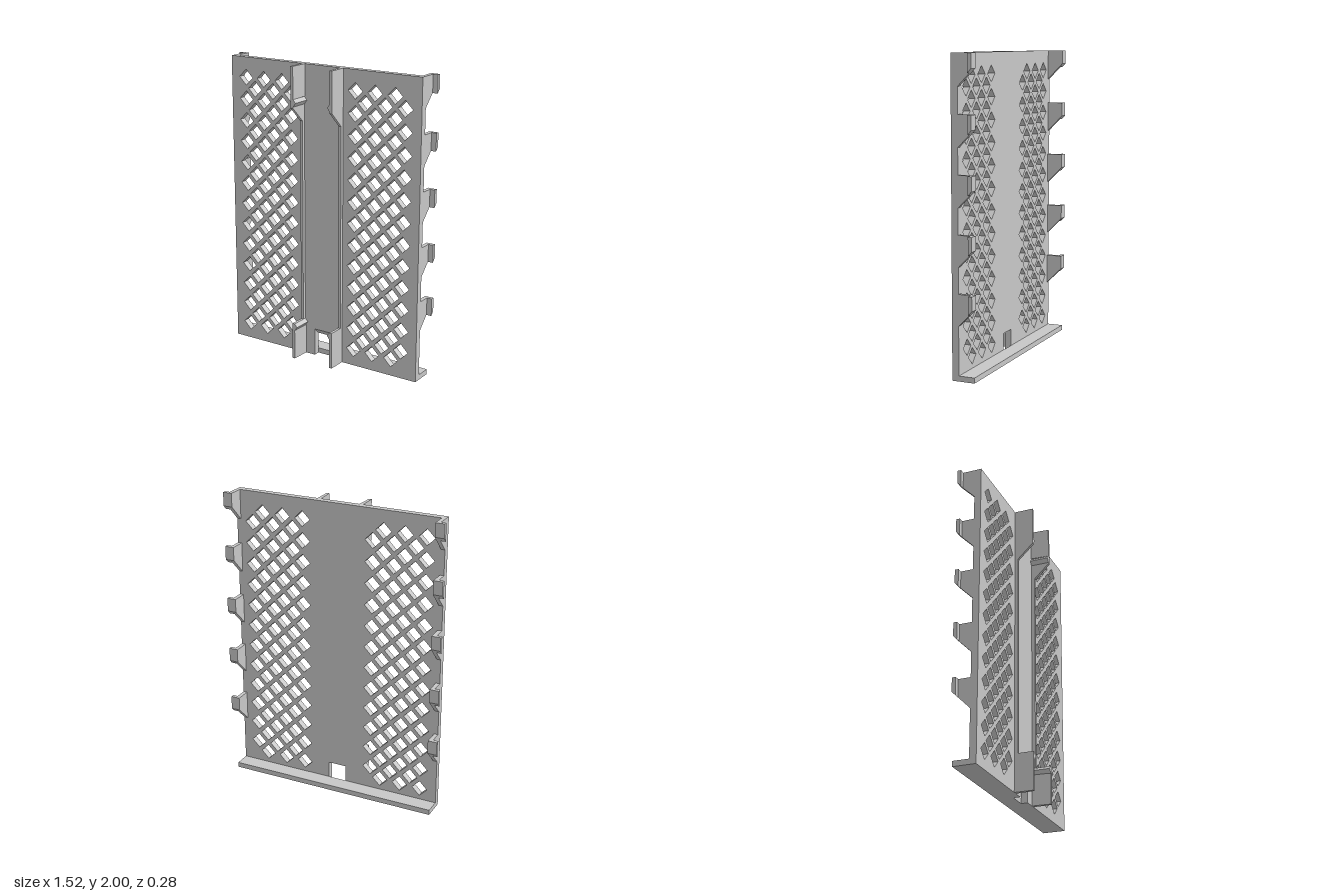
import * as THREE from 'three';

const W = 0.727, H = 2, FRONT = 0.012, BACK = -0.033, DEEP = 0.139;

const grey = new THREE.MeshStandardMaterial({ color: 0xc7c7c7 });
grey.name = 'lightGrey';

function polygon(points) {
  return new THREE.Shape(points.map(([x, y]) => new THREE.Vector2(x, y)));
}

function add(parent, name, geometry) {
  const mesh = new THREE.Mesh(geometry, grey);
  mesh.name = name;
  parent.add(mesh);
  return mesh;
}

// Extrudes a side profile, given as [z, y] points, from x0 to x1
function sideExtrude(points, x0, x1) {
  const shape = polygon(points.map(([z, y]) => [-z, y]));
  const geometry = new THREE.ExtrudeGeometry(shape, { depth: x1 - x0, bevelEnabled: false });
  return geometry.rotateY(Math.PI / 2).translate(x0, 0, 0);
}

// Extrudes a front outline, given as a shape in x and y, from z0 to z1
function frontExtrude(shape, z0, z1) {
  return new THREE.ExtrudeGeometry(shape, { depth: z1 - z0, bevelEnabled: false }).translate(0, 0, z0);
}

// Flat panel with a notch at the foot and two lattices of diamond holes
function latticePanel() {
  const shape = polygon([
    [-W, 0], [-0.062, 0], [-0.062, 0.19], [0.062, 0.19], [0.062, 0], [W, 0], [W, H], [-W, H],
  ]);
  const stepX = 0.0725, stepY = 0.0729, r = 0.0535;
  for (const startX of [-0.61, 0.248]) {
    for (let row = 0; row < 25; row++) {
      for (let col = 0; col < 3; col++) {
        const x = startX + (col * 2 + (row % 2)) * stepX;
        const y = 1.865 - row * stepY;
        shape.holes.push(new THREE.Path([
          new THREE.Vector2(x + r, y), new THREE.Vector2(x, y - r),
          new THREE.Vector2(x - r, y), new THREE.Vector2(x, y + r),
        ]));
      }
    }
  }
  return frontExtrude(shape, BACK, FRONT);
}

// Guide rail with a tall arm at each end and a snap ridge on each arm
function guideRail(side) {
  const rail = new THREE.Group();
  rail.name = side > 0 ? 'leftGuideRail' : 'rightGuideRail';
  const outer = 0.159, inner = 0.14;
  const span = (a, b) => (side > 0 ? [a, b] : [-b, -a]);
  add(rail, 'railStrip', sideExtrude(
    [[FRONT, 0], [FRONT, H], [0.035, H], [0.035, 0]], ...span(inner, outer)));

  const arms = [
    ['upperArm', [[FRONT, 1.63], [FRONT, H], [DEEP, H], [DEEP, 1.73], [0.035, 1.63]], 1.765, 1.79, H],
    ['lowerArm', [[FRONT, 0], [FRONT, 0.252], [DEEP, 0.252], [DEEP, 0]], 0.23, 0, 0.205],
  ];
  for (const [name, profile, ridgeY, rootFrom, rootTo] of arms) {
    add(rail, name, sideExtrude(profile, ...span(inner, outer)));
    // Triangular snap ridge
    const ridge = polygon([
      [side * inner, ridgeY + 0.022], [side * 0.12, ridgeY], [side * inner, ridgeY - 0.027],
    ]);
    add(rail, name + 'Ridge', frontExtrude(ridge, FRONT, DEEP));
    // Wedge that thickens the root of the arm
    const wedge = polygon([[side * inner, -FRONT], [side * 0.133, -FRONT], [side * inner, -DEEP]]);
    const root = new THREE.ExtrudeGeometry(wedge, { depth: rootTo - rootFrom, bevelEnabled: false });
    add(rail, name + 'Root', root.rotateX(-Math.PI / 2).translate(0, rootFrom, 0));
  }
  return rail;
}

// Rear hook: a bracket with a sloping underside and an outward lip
function hook(side, top) {
  const group = new THREE.Group();
  group.name = side > 0 ? 'leftHook' : 'rightHook';
  const span = (a, b) => (side > 0 ? [a, b] : [-b, -a]);
  add(group, 'hookBracket', sideExtrude(
    [[BACK, top], [-DEEP, top], [-DEEP, top - 0.091], [BACK, top - 0.198]], ...span(0.7, W)));
  add(group, 'hookLip', sideExtrude(
    [[-0.114, top], [-DEEP, top], [-DEEP, top - 0.091], [-0.114, top - 0.117]], ...span(W, 0.762)));
  return group;
}

export function createModel() {
  const model = new THREE.Group();
  model.name = 'latticePanel';

  add(model, 'panel', latticePanel());

  // Ledge along the bottom of the back
  const ledge = add(model, 'bottomLedge', new THREE.BoxGeometry(W * 2, 0.035, DEEP + BACK));
  ledge.position.set(0, 0.0175, (BACK - DEEP) / 2);

  // Sloping lintel over the notch
  add(model, 'notchLintel', sideExtrude([[FRONT, 0.19], [BACK, 0.19], [BACK, 0.147]], -0.062, 0.062));

  for (const side of [-1, 1]) {
    model.add(guideRail(side));
    for (let i = 0; i < 5; i++) model.add(hook(side, H - i * 0.3637));
  }
  return model;
}
